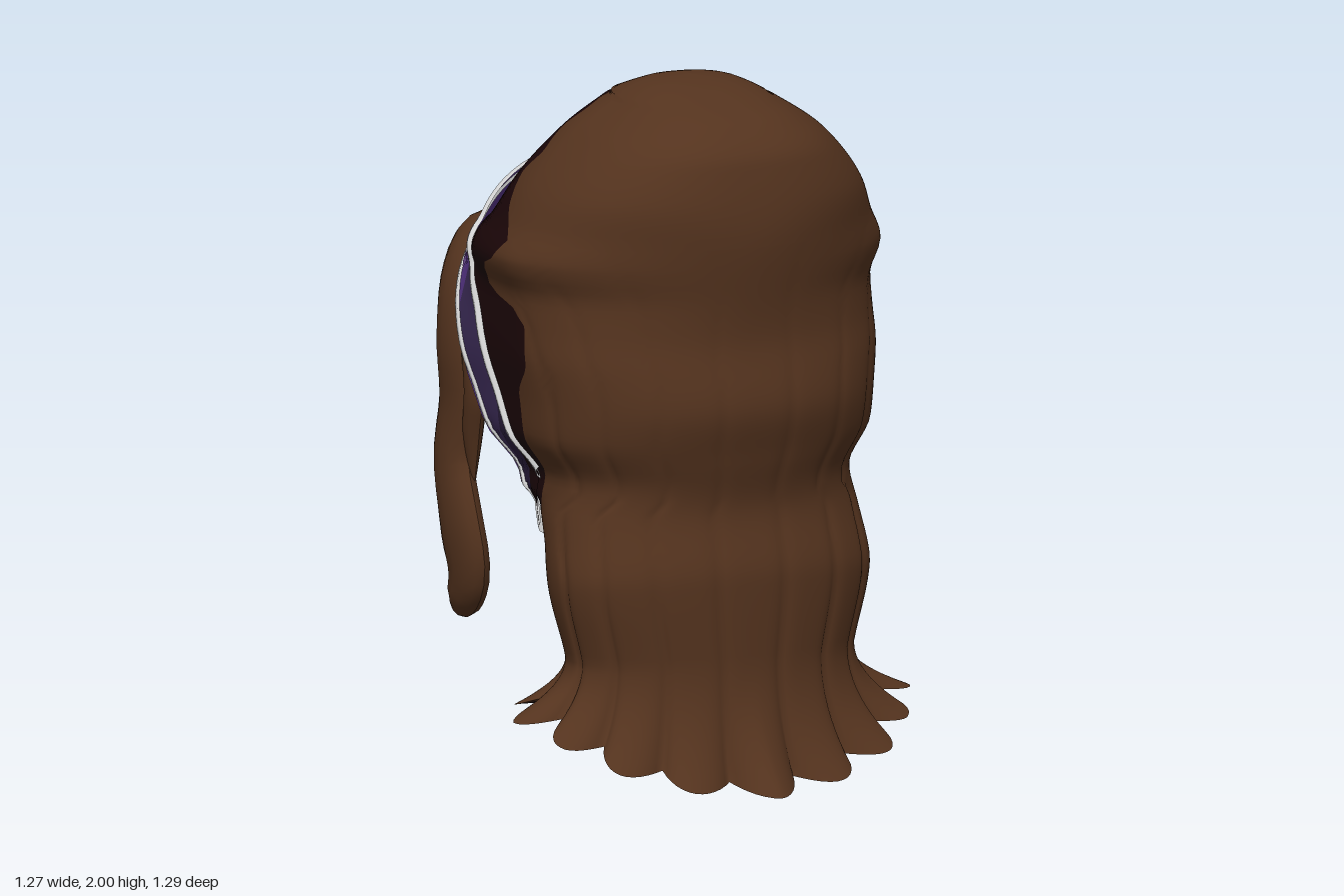
import * as THREE from 'three';

const mat = (name, color) => {
  const m = new THREE.MeshStandardMaterial({ color, side: THREE.DoubleSide });
  m.name = name;
  return m;
};
const { lerp, clamp, smoothstep } = THREE.MathUtils;
const steps = (a, b, n) => Array.from({ length: n + 1 }, (_, i) => lerp(a, b, i / n));

// Lookup in [[key, value], ...], straight or as a smooth curve without overshoot
function lookup(table, k, smooth = false) {
  const last = table.length - 1;
  if (k <= table[0][0]) return table[0][1];
  if (k >= table[last][0]) return table[last][1];
  const i = table.findIndex(e => e[0] > k);
  const [k0, v0] = table[i - 1], [k1, v1] = table[i], h = k1 - k0, t = (k - k0) / h;
  if (!smooth) return lerp(v0, v1, t);
  const slope = j => (table[j][1] - table[j - 1][1]) / (table[j][0] - table[j - 1][0]);
  const tangent = j => {
    if (j === 0) return slope(1);
    if (j === last) return slope(last);
    const a = slope(j), b = slope(j + 1);
    return a * b <= 0 ? 0 : 2 * a * b / (a + b);
  };
  const t2 = t * t, t3 = t2 * t;
  return v0 * (2 * t3 - 3 * t2 + 1) + v1 * (3 * t2 - 2 * t3)
    + h * (tangent(i - 1) * (t3 - 2 * t2 + t) + tangent(i) * (t3 - t2));
}

// Surface from fn(u, v) -> Vector3, with explicit u rows and evenly spaced v columns
function loft(name, material, rows, cols, fn) {
  const pos = [], idx = [];
  rows.forEach((u, r) => {
    for (let c = 0; c <= cols; c++) {
      pos.push(...fn(u, c / cols).toArray());
      if (r && c) {
        const d = r * (cols + 1) + c, b = d - cols - 1;
        idx.push(b - 1, b, d, b - 1, d, d - 1);
      }
    }
  });
  const g = new THREE.BufferGeometry();
  g.setAttribute('position', new THREE.Float32BufferAttribute(pos, 3));
  g.setIndex(idx);
  g.computeVertexNormals();
  const mesh = new THREE.Mesh(g, material);
  mesh.name = name;
  return mesh;
}

// Outline of the hair by height: half width, back, front, widest depth, colour border, roundness
const WIDTH = [[.36, .44], [.6, .49], [.75, .475], [.87, .455], [1, .525], [1.1, .535], [1.25, .553], [1.4, .55],
  [1.5, .588], [1.6, .54], [1.7, .49], [1.85, .36], [1.92, .26], [1.98, .15], [1.995, .08], [2, 0]];
const BACK = [[.36, .47], [.6, .475], [.8, .44], [.95, .475], [1.1, .51], [1.3, .48], [1.6, .51], [1.8, .48],
  [1.9, .4], [1.97, .23], [1.99, .15], [2, .08]];
const FRONT = [[.4, .07], [.68, .02], [1.57, -.52], [1.74, -.36], [1.85, -.25], [1.9, -.2], [1.95, -.15],
  [1.99, -.03], [2, .03]];
const MIDDLE = [[.6, .2], [.9, .1], [1.3, .05]];
const BORDER = [[.3, 0], [.5, .05], [.76, .03], [.9, .07], [1.13, .06], [1.2, .12], [1.32, .11], [1.38, .03],
  [1.395, -.12], [1.47, -.11], [1.5, -.02], [1.56, .04], [1.64, -.05], [1.73, -.1], [1.79, -.04], [1.85, -.08],
  [1.9, -.04], [1.935, -.05], [1.95, -.14], [1.965, -.4]];
const POWER = [[.36, 1], [.7, .95], [1.2, .92], [1.5, 1.06], [1.7, .87], [1.85, .8]];
// Outward flare of the tips from the back (0) to the front edge (1)
const FLARE = [[0, .46], [.12, .34], [.6, .34], [.8, .45], [1, .42]];

// Half width of the face opening at a height
function openingWidth(y) {
  const t = Math.abs((y - 1.125) / .445);
  return t >= 1 ? 0 : Math.min(.53 * (1 - t ** 2.5) ** .4, .97 * lookup(WIDTH, y, true));
}

function section(y) {
  const yy = Math.max(y, .36);
  const W = lookup(WIDTH, yy, true), zB = lookup(BACK, yy, true), power = lookup(POWER, yy, true);
  const zF = lookup(FRONT, yy), z0 = lookup(MIDDLE, yy, true);
  let w = openingWidth(yy);
  if (yy < 1.1) w = Math.max(w, .88 * W);
  const aEnd = W > 0 ? Math.acos(Math.min(w / W, .99)) : Math.PI / 2;
  const end = Math.PI / 2 + aEnd, zb = lookup(BORDER, yy);
  let border;
  if (zb < z0) {
    const q = (z0 - zb) / (z0 - zF);
    border = q >= 1 ? end : Math.PI / 2 + Math.asin(q * Math.sin(aEnd));
  } else border = Math.acos(Math.min(1, (zb - z0) / (zB - z0)) ** (1 / power));
  return { W, zB, zF, z0, aEnd, end, border, power };
}

// Point on the hair: s runs from the middle of the back (0) to the front edge (+-end)
function hairPoint(y, s) {
  const { W, zB, zF, z0, aEnd, end, power } = section(y);
  const a = Math.abs(s), b = s / end;
  let x, z;
  if (a <= Math.PI / 2) {
    x = W * Math.sin(a) ** power;
    z = z0 + (zB - z0) * Math.max(0, Math.cos(a)) ** power;
  } else {
    x = W * Math.cos(a - Math.PI / 2);
    z = z0 - (z0 - zF) * Math.sin(a - Math.PI / 2) / Math.sin(aEnd);
  }
  // shallow strand grooves, then flared pointed tips
  const strand = Math.abs(Math.cos(5 * Math.PI * b));
  const groove = clamp((1.6 - y) / 1.2, 0, 1) * smoothstep(Math.PI / 2 - a, 0, .15);
  let scale = 1 - .03 * groove * (1 - strand) ** 3, yOut = y;
  if (y < .36) {
    const k = (.36 - y) / .36;
    const low = .225 - .225 * Math.cos(b * Math.PI / 2) ** 2 + .03 * (1 - strand);
    yOut = lerp(.36, low, k);
    scale *= 1 + k * k * lerp(.17, lookup(FLARE, Math.abs(b)), strand);
  }
  return new THREE.Vector3(Math.sign(s) * x * scale, yOut, .1 + (z - .1) * scale);
}

// Half width of the head surface at a height and depth
function headWidth(y, z) {
  const { W, zF, z0, aEnd } = section(y);
  return W * Math.sqrt(1 - (clamp((z0 - z) / (z0 - zF), 0, 1) * Math.sin(aEnd)) ** 2);
}

// Rounded oval used for the face opening and the headband
function oval(t, hw, yc, hh) {
  const c = Math.cos(t), s = Math.sin(t);
  const y = yc + hh * Math.sign(s) * Math.abs(s) ** .8;
  return [Math.sign(c) * Math.min(hw * Math.abs(c) ** .8, .98 * lookup(WIDTH, y, true)), y];
}
function rimPoint(t) {
  const [x, y] = oval(t, .53, 1.125, .445);
  return new THREE.Vector3(x, y, .02 - (y - .68) * .607);
}

// Headband point: u along (0..1, side to side over the top), v from face edge to back edge
function bandPoint(u, v, lift) {
  const rad = Math.PI / 180, t = lerp(-38, 218, u) * rad;
  const p = rimPoint(lerp(-72, 252, u) * rad);
  const [x, y] = oval(t, .555, 1.24, .5);
  p.lerp(new THREE.Vector3(x, y, .04 - (y - .92) * .488), v);
  const side = Math.sign(p.x), head = headWidth(p.y, p.z);
  p.x = side * lerp(head, Math.max(head, Math.abs(p.x)), smoothstep(p.y, 1.2, 1.4));
  const up = Math.max(0, Math.sin(t));
  return p.addScaledVector(new THREE.Vector3(Math.cos(t), up * .8, -up * .55).normalize(), lift);
}

// Flattened lock along a path, thin across the head surface
function lock(name, material, pts, wide, thin, mirror = 1) {
  const curve = new THREE.CatmullRomCurve3(pts.map(p => new THREE.Vector3(...p)));
  return loft(name, material, steps(0, 1, 36), 12, (u, v) => {
    const p = curve.getPoint(u), T = curve.getTangent(u);
    const O = new THREE.Vector3(p.x, Math.max(0, p.y - 1.1), 0);
    O.addScaledVector(T, -O.dot(T)).normalize();
    const S = new THREE.Vector3().crossVectors(T, O);
    const a = v * Math.PI * 2, w = lookup(wide, u, true);
    p.addScaledVector(S, Math.cos(a) * w).addScaledVector(O, Math.sin(a) * Math.min(thin, w * .7));
    p.x *= mirror;
    return p;
  });
}

export function createModel() {
  const group = new THREE.Group();
  const brown = mat('brown hair', 0x54331e), dark = mat('dark hair', 0x1b0608);
  const white = mat('white trim', 0xd4d4d4), purple = mat('purple cloth', 0x5a378c);
  const light = mat('light purple cloth', 0x74509c), dim = mat('dim purple cloth', 0x3e2d5a);
  const deep = mat('deep purple cloth', 0x2d2040);
  const add = m => group.add(m);

  // Long hair and the dark crown in front of it
  const rows = [...steps(0, .36, 10), ...steps(.385, 1.5, 50), ...steps(1.515, 1.56, 4), 1.567, 1.57,
    ...steps(1.59, 1.95, 24), 1.96, 1.97, 1.98, 1.988, 1.994, 1.998, 2];
  add(loft('longHair', brown, rows, 120, (y, v) => hairPoint(y, (v * 2 - 1) * section(y).border)));
  const crownRows = rows.filter(y => y >= .385 && y <= 1.97);
  for (const side of [-1, 1]) {
    add(loft('darkCrown', dark, crownRows, 20, (y, v) => {
      const s = section(y);
      return hairPoint(y, side * lerp(s.border, s.end, v));
    }));
  }

  // Inner wall behind the neck, continued beside the face opening
  const wall = (y, v) => {
    const e = section(y).end;
    const p = hairPoint(y, -e).lerp(hairPoint(y, e), v);
    p.z += .06 * (1 - (2 * v - 1) ** 2) * clamp((.68 - y) / .2, 0, 1);
    return p;
  };
  add(loft('neckWall', dark, rows.filter(y => y < .68).concat(.68), 16, wall));
  for (const side of [-1, 1]) {
    add(loft('templeWall', dark, steps(.68, .98, 12), 2, (y, v) => {
      const p = hairPoint(y, side * section(y).end);
      p.x = lerp(p.x, side * Math.min(Math.abs(p.x), openingWidth(y)), v);
      return p;
    }));
  }

  // Underside of the tips
  const under = (t, v) => hairPoint(0, (v * 2 - 1) * section(0).end).lerp(wall(0, v), t);
  add(loft('tipUnderside', brown, [0, .25, .5], 120, under));
  add(loft('innerUnderside', dark, [.5, .75, 1], 120, under));

  // Hollow for the head, sunk square to the tilted opening, and its cloth rim
  add(loft('headHollow', dark, steps(0, Math.PI / 2, 12), 64, (a, v) => {
    const p = rimPoint(v * Math.PI * 2), k = Math.cos(a), d = Math.sin(a);
    return new THREE.Vector3(p.x * k * .98, 1.125 + (p.y - 1.125) * k + .28 * d, lerp(-.25, p.z, k) + .52 * d);
  }));
  add(loft('openingRim', purple, [.97, 1.015], 72, (k, v) => {
    const p = rimPoint(v * Math.PI * 2);
    return new THREE.Vector3(p.x * k, 1.125 + (p.y - 1.125) * k, p.z - .006);
  }));

  // Headband: coloured patches mirrored about the middle, with white edges
  const patches = [[0, 8, dark], [8, 13, deep], [13, 21, dim], [21, 60, purple], [60, 98, dim], [98, 112, deep],
    [112, 128, dark]];
  for (const side of [-1, 1]) {
    for (const [a, b, m] of patches) {
      const us = steps(.5 + side * a / 256, .5 + side * b / 256, Math.ceil((b - a) / 3));
      add(loft('headbandCloth', m, us, 6, (u, v) => bandPoint(u, lerp(.1, .9, v), .011)));
    }
    // rounded pale spot
    add(loft('headbandSpot', light, steps(-1, 1, 12), 6, (q, v) =>
      bandPoint(.5 + side * (42 + 14 * q) / 256, .5 + (v - .5) * .66 * Math.sqrt(1 - q * q), .016)));
  }
  for (const [v0, v1] of [[0, .18], [.82, 1]]) {
    add(loft('headbandTrim', white, steps(0, 1, 84), 4, (u, v) =>
      bandPoint(u, lerp(v0, v1, v), v === 0 || v === 1 ? .004 : .017)));
  }

  // Face-framing locks, a short strand behind each, and the dark roots between them
  const path = [[.05, 1.465, -.59], [.18, 1.48, -.595], [.32, 1.475, -.565], [.42, 1.36, -.505], [.45, 1.18, -.485],
    [.435, 1, -.49], [.445, .83, -.51], [.45, .66, -.455], [.435, .52, -.44], [.42, .43, -.5], [.42, .395, -.56]];
  const wide = [[0, .03], [.1, .05], [.22, .085], [.4, .085], [.5, .095], [.6, .09], [.75, .105], [.88, .07],
    [.96, .035], [1, .004]];
  const strand = [[.43, 1.32, -.42], [.45, 1.18, -.385], [.45, 1.05, -.37], [.44, .92, -.405], [.43, .76, -.42]];
  for (const mirror of [1, -1]) {
    add(lock('faceLock', brown, path, wide, .048, mirror));
    add(lock('innerStrand', brown, strand, [[0, .02], [.3, .045], [.7, .04], [1, .005]], .03, mirror));
  }
  add(lock('hairRoots', dark, [[-.3, 1.505, -.53], [-.15, 1.525, -.56], [0, 1.525, -.56], [.15, 1.525, -.56],
    [.3, 1.505, -.53]], [[0, .02], [.3, .055], [.5, .045], [.7, .055], [1, .02]], .015));
  return group;
}
